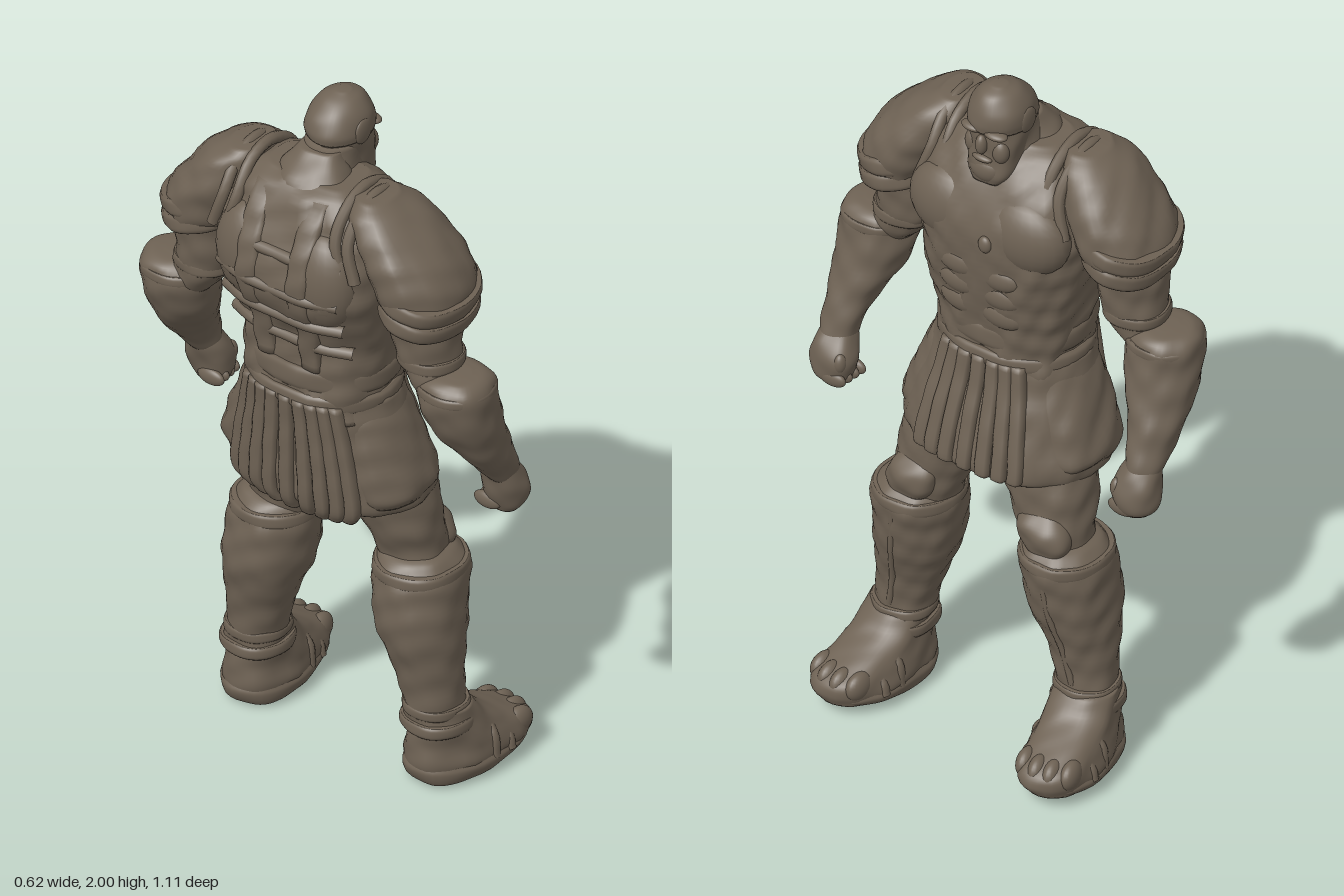
import * as THREE from 'three';

const stone = new THREE.MeshStandardMaterial({ color: 0x6e6254 });
stone.name = 'weathered stone';

const sgnPow = (v, e) => Math.sign(v) * Math.pow(Math.abs(v), e);

// Smooth body through horizontal sections [y, centreX, centreZ, radiusX, radiusZ], bottom to top
function loft(name, sections, { p = 2.2, side = 1, lump = 0.004, seg = 40 } = {}) {
  const s = [...sections].sort((a, b) => a[0] - b[0]);
  const centres = new THREE.CatmullRomCurve3(s.map(q => new THREE.Vector3(q[1], q[0], q[2] * side)), false, 'catmullrom', 0.5);
  const radii = new THREE.CatmullRomCurve3(s.map(q => new THREE.Vector3(q[3], q[4], 0)), false, 'catmullrom', 0.5);
  const rows = (s.length - 1) * 6, pos = [], idx = [];
  for (let i = 0; i <= rows; i++) {
    const c = centres.getPoint(i / rows), r = radii.getPoint(i / rows);
    for (let j = 0; j < seg; j++) {
      const t = j / seg * Math.PI * 2;
      const cx = sgnPow(Math.cos(t), 2 / p), cz = sgnPow(Math.sin(t), 2 / p);
      const x = c.x + r.x * cx, z = c.z + r.y * cz;
      // chiselled unevenness
      const n = lump * (Math.sin(x * 37 + c.y * 41) * Math.cos(z * 43 - c.y * 29) + 0.5 * Math.sin(c.y * 47 + z * 71) * Math.cos(x * 67));
      pos.push(x + cx * n, c.y, z + cz * n);
    }
  }
  for (let i = 0; i < rows; i++) for (let j = 0; j < seg; j++) {
    const a = i * seg + j, b = i * seg + (j + 1) % seg;
    idx.push(a, a + seg, b, b, a + seg, b + seg);
  }
  // end caps
  const bottom = pos.length / 3, top = bottom + 1, c0 = centres.getPoint(0), c1 = centres.getPoint(1);
  pos.push(c0.x, c0.y, c0.z, c1.x, c1.y, c1.z);
  for (let j = 0; j < seg; j++) {
    const k = (j + 1) % seg, last = rows * seg;
    idx.push(bottom, j, k, top, last + k, last + j);
  }
  const g = new THREE.BufferGeometry();
  g.setAttribute('position', new THREE.Float32BufferAttribute(pos, 3));
  g.setIndex(idx);
  g.computeVertexNormals();
  const m = new THREE.Mesh(g, stone);
  m.name = name;
  return m;
}

// Ellipsoid for muscles, knuckles and studs
function blob(name, x, y, z, rx, ry, rz) {
  const m = new THREE.Mesh(new THREE.SphereGeometry(1, 24, 16), stone);
  m.position.set(x, y, z);
  m.scale.set(rx, ry, rz);
  m.name = name;
  return m;
}

function tube(name, points, r) {
  const path = new THREE.CatmullRomCurve3(points.map(q => new THREE.Vector3(...q)));
  const m = new THREE.Mesh(new THREE.TubeGeometry(path, 24, r, 8, false), stone);
  m.name = name;
  return m;
}

// Raised band wrapped around a limb
const band = (name, y, h, cx, cz, rx, rz, side = 1) => loft(name, [
  [y - h / 2, cx, cz, rx * 0.96, rz * 0.96], [y - h / 4, cx, cz, rx, rz],
  [y + h / 4, cx, cz, rx, rz], [y + h / 2, cx, cz, rx * 0.96, rz * 0.96]], { side, lump: 0.002 });

function buildTorso() {
  const g = new THREE.Group();
  g.name = 'torso';
  g.add(loft('cuirass', [
    [1.13, -0.075, 0, 0.16, 0.2], [1.2, -0.075, 0, 0.16, 0.2], [1.28, -0.07, 0, 0.16, 0.205],
    [1.38, -0.065, 0, 0.17, 0.222], [1.5, -0.09, 0, 0.208, 0.245], [1.6, -0.09, 0, 0.208, 0.258],
    [1.7, -0.09, 0, 0.17, 0.245], [1.78, -0.1, 0, 0.125, 0.19], [1.815, -0.1, 0, 0.08, 0.13]],
    { p: 2.8, seg: 64, lump: 0.006 }));
  g.add(loft('trapezius', [[1.7, -0.12, 0, 0.12, 0.18], [1.79, -0.12, 0, 0.09, 0.115], [1.84, -0.1, 0, 0.065, 0.075], [1.87, -0.08, 0, 0.05, 0.06]]));
  g.add(band('belt', 1.245, 0.07, -0.075, 0, 0.166, 0.21), band('lowerBelt', 1.18, 0.05, -0.075, 0, 0.172, 0.212));
  for (const s of [1, -1]) {
    g.add(blob('chestMuscle', 0.04, 1.595, 0.115 * s, 0.078, 0.115, 0.13));
    g.add(blob('shoulderBlade', -0.225, 1.58, 0.12 * s, 0.075, 0.14, 0.1));
    for (let i = 0; i < 3; i++) g.add(blob('abdomen', 0.073 + i * 0.008, 1.33 + i * 0.065, 0.06 * s, 0.03, 0.042, 0.07));
    // broad vertical back straps
    g.add(loft('backStrap', [[1.28, -0.215, 0.07, 0.02, 0.03], [1.4, -0.235, 0.075, 0.022, 0.032], [1.52, -0.283, 0.08, 0.024, 0.034],
      [1.63, -0.278, 0.08, 0.024, 0.034], [1.72, -0.235, 0.085, 0.024, 0.034], [1.79, -0.19, 0.085, 0.024, 0.03]], { side: s, p: 3, seg: 20 }));
  }
  // horizontal back plates
  [[1.36, 0.225], [1.45, 0.267], [1.54, 0.292], [1.64, 0.276]].forEach(([y, x]) =>
    g.add(tube('backPlateRidge', [[-x + 0.03, y, -0.19], [-x, y, -0.1], [-x - 0.002, y, 0], [-x, y, 0.1], [-x + 0.03, y, 0.19]], 0.017)));
  g.add(blob('chestStud', 0.12, 1.57, -0.04, 0.014, 0.025, 0.02));
  return g;
}

function buildSkirt() {
  const g = new THREE.Group();
  g.name = 'skirt';
  const rows = [[0.84, -0.035, 0, 0.17, 0.25], [0.875, -0.035, 0, 0.192, 0.288], [1, -0.05, 0, 0.18, 0.265],
    [1.1, -0.065, 0, 0.165, 0.235], [1.18, -0.075, 0, 0.16, 0.21]];
  g.add(loft('skirtCloth', rows, { p: 2.3, seg: 64 }));
  // hanging leather strips, front and back
  for (const [facing, count, hem] of [[0, 3, 0.865], [Math.PI, 4, 0.825]]) for (let i = -count; i <= count; i++) {
    const t = facing + i * 0.16;
    const strip = rows.map(([y, cx, , rx, rz]) => [y, cx + rx * sgnPow(Math.cos(t), 0.87), rz * sgnPow(Math.sin(t), 0.87), 0.018, 0.021]);
    strip[0][0] = hem;
    g.add(loft('skirtStrip', strip, { p: 3, lump: 0.001, seg: 12 }));
  }
  // hip guards
  for (const s of [1, -1]) g.add(loft('hipGuard', [[0.88, -0.05, 0.2, 0.115, 0.085], [0.92, -0.05, 0.2, 0.13, 0.102], [1, -0.055, 0.18, 0.13, 0.097],
    [1.1, -0.065, 0.15, 0.12, 0.09], [1.15, -0.07, 0.13, 0.11, 0.085]], { side: s, p: 2.4 }));
  g.add(blob('groin', -0.02, 0.9, 0, 0.12, 0.078, 0.12));
  return g;
}

function buildHead() {
  const g = new THREE.Group();
  g.name = 'head';
  g.add(loft('neck', [[1.7, -0.09, 0, 0.12, 0.13], [1.79, -0.06, 0, 0.09, 0.085], [1.88, -0.035, 0, 0.08, 0.07]]));
  g.add(loft('face', [[1.725, 0.045, 0, 0.035, 0.045], [1.76, 0.025, 0, 0.06, 0.065], [1.82, 0, 0, 0.08, 0.073],
    [1.88, -0.012, 0, 0.09, 0.075], [1.92, -0.012, 0, 0.085, 0.074]], { p: 2.4 }));
  g.add(loft('helmet', [[1.885, -0.014, 0, 0.096, 0.081], [1.91, -0.014, 0, 0.098, 0.083], [1.945, -0.01, 0, 0.085, 0.075],
    [1.98, -0.003, 0, 0.056, 0.05], [1.998, 0, 0, 0.018, 0.018]], { lump: 0.002 }));
  g.add(blob('nose', 0.08, 1.85, 0, 0.018, 0.03, 0.016), blob('beard', 0.057, 1.765, 0, 0.032, 0.042, 0.05));
  g.add(blob('mouth', 0.077, 1.805, 0, 0.013, 0.01, 0.03));
  for (const s of [1, -1]) {
    g.add(blob('brow', 0.067, 1.887, 0.035 * s, 0.022, 0.012, 0.035));
    g.add(blob('cheek', 0.055, 1.83, 0.042 * s, 0.022, 0.035, 0.025));
    g.add(blob('earGuard', -0.015, 1.905, 0.077 * s, 0.033, 0.036, 0.01));
  }
  return g;
}

function buildArm(s) {
  const g = new THREE.Group(), o = { side: s };
  g.name = s > 0 ? 'rightArm' : 'leftArm';
  // the left shoulder guard sits a little closer and higher
  const inset = s > 0 ? 0 : 0.018, lift = s > 0 ? 0 : 0.02;
  g.add(loft('shoulderGuard', [[1.55, -0.1, 0.355 - inset, 0.135, 0.1], [1.59, -0.1, 0.348 - inset, 0.148, 0.117], [1.64, -0.102, 0.33 - inset, 0.15, 0.12],
    [1.7, -0.106, 0.297 - inset, 0.144, 0.112], [1.78, -0.112, 0.235, 0.112, 0.085], [1.825, -0.115, 0.2, 0.065, 0.045]], { ...o, p: 2.1 }));
  // overlapping lower plates, tilted outward
  [[1.54, 0.05, 0.148, 0.112], [1.59, 0.05, 0.15, 0.118]].forEach(([y, h, rx, rz]) => {
    const plate = band('shoulderPlate', 0, h, -0.1, 0, rx, rz);
    plate.position.set(0, y + lift, (0.36 - inset) * s);
    plate.rotation.x = 0.25 * s;
    g.add(plate);
  });
  // raised ridges along the inner edge of the guard
  [[0.16, 0], [0.2, 0.006]].forEach(([z, drop]) => g.add(tube('shoulderRidge', [[0.04, 1.62, (z + 0.03) * s], [0.02, 1.72, z * s],
    [-0.03, 1.795 - drop, z * s], [-0.11, 1.825 - drop, z * s], [-0.18, 1.8 - drop, z * s], [-0.235, 1.72, z * s], [-0.245, 1.62, (z + 0.03) * s]], 0.016)));
  g.add(loft('upperArm', [[1.29, -0.1, 0.41, 0.065, 0.06], [1.35, -0.1, 0.375, 0.08, 0.075], [1.42, -0.098, 0.35, 0.086, 0.088],
    [1.5, -0.1, 0.345, 0.094, 0.092], [1.6, -0.1, 0.32, 0.1, 0.09]], o));
  g.add(band('armBand', 1.385, 0.035, -0.098, 0.363, 0.086, 0.086, s));
  g.add(loft('forearmGuard', [[0.99, 0.045, 0.482, 0.045, 0.045], [1.05, 0.012, 0.482, 0.062, 0.054], [1.12, -0.03, 0.475, 0.08, 0.07],
    [1.2, -0.07, 0.46, 0.094, 0.093], [1.28, -0.095, 0.45, 0.1, 0.103], [1.34, -0.1, 0.452, 0.095, 0.096], [1.365, -0.1, 0.455, 0.07, 0.07], [1.372, -0.1, 0.455, 0.03, 0.03]], o));
  g.add(band('elbowCuff', 1.325, 0.03, -0.1, 0.45, 0.1, 0.1, s));
  g.add(loft('fist', [[0.88, 0.065, 0.477, 0.032, 0.038], [0.905, 0.068, 0.477, 0.046, 0.057], [0.95, 0.062, 0.477, 0.054, 0.064],
    [0.99, 0.05, 0.48, 0.052, 0.056], [1.03, 0.03, 0.482, 0.042, 0.042]], { ...o, p: 2.3 }));
  for (let i = 0; i < 4; i++) g.add(blob('finger', 0.1 - i * 0.025, 0.905, (0.457 - i * 0.003) * s, 0.015, 0.024, 0.042));
  g.add(blob('thumb', 0.092, 0.955, 0.437 * s, 0.02, 0.03, 0.018));
  return g;
}

function buildLeg(s) {
  const g = new THREE.Group(), o = { side: s };
  g.name = s > 0 ? 'rightLeg' : 'leftLeg';
  g.add(loft('thigh', [[0.6, 0.03, 0.215, 0.085, 0.09], [0.68, 0.03, 0.2, 0.088, 0.095], [0.76, 0.012, 0.18, 0.1, 0.112],
    [0.85, 0, 0.152, 0.11, 0.13], [0.98, -0.03, 0.13, 0.11, 0.115]], o));
  g.add(loft('kneeGuard', [[0.655, 0.085, 0.215, 0.045, 0.065], [0.69, 0.09, 0.21, 0.05, 0.075], [0.73, 0.088, 0.2, 0.05, 0.072],
    [0.77, 0.07, 0.195, 0.035, 0.05]], o));
  g.add(loft('shinGuard', [[0.16, 0.012, 0.29, 0.08, 0.078], [0.25, 0.01, 0.283, 0.078, 0.08], [0.35, 0.008, 0.267, 0.09, 0.095],
    [0.46, 0.01, 0.247, 0.12, 0.115], [0.55, 0.018, 0.237, 0.127, 0.119], [0.62, 0.028, 0.232, 0.127, 0.118], [0.66, 0.03, 0.225, 0.1, 0.095], [0.675, 0.03, 0.222, 0.07, 0.07]], o));
  g.add(band('shinCuff', 0.625, 0.04, 0.027, 0.231, 0.129, 0.119, s));
  g.add(tube('shinRidge', [[0.143, 0.6, 0.235 * s], [0.127, 0.47, 0.25 * s], [0.094, 0.35, 0.27 * s], [0.082, 0.25, 0.288 * s]], 0.01));
  g.add(band('ankleBand', 0.225, 0.03, 0.015, 0.288, 0.086, 0.086, s), band('ankleWrap', 0.18, 0.035, 0.02, 0.293, 0.098, 0.094, s));

  // foot turned slightly outward, its toe lifted off the ground
  const foot = new THREE.Group();
  foot.name = 'foot';
  foot.position.z = 0.292 * s;
  foot.rotation.y = -0.15 * s;
  foot.add(loft('boot', [[0.04, 0.115, 0, 0.18, 0.1], [0.07, 0.12, 0, 0.19, 0.106], [0.105, 0.112, 0, 0.182, 0.1],
    [0.14, 0.08, 0, 0.145, 0.093], [0.18, 0.04, 0, 0.103, 0.088], [0.23, 0.015, 0, 0.08, 0.08]], { p: 2.3 }));
  foot.add(loft('sole', [[0.001, 0.05, 0, 0.085, 0.06], [0.012, 0.07, 0, 0.125, 0.09], [0.03, 0.098, 0, 0.165, 0.105],
    [0.05, 0.112, 0, 0.184, 0.11], [0.065, 0.116, 0, 0.183, 0.104]], { p: 2.3, lump: 0.002 }));
  for (let i = 0; i < 4; i++) foot.add(blob('toe', 0.262 - Math.abs(i - 1.5) * 0.016, 0.092, (i - 1.5) * 0.042, 0.045, 0.04, 0.026));
  for (const [x, y] of [[0.125, 0.15], [0.18, 0.115]])
    foot.add(tube('footStrap', [[x, 0.05, -0.098], [x, y - 0.03, -0.088], [x, y + 0.02, 0], [x, y - 0.03, 0.088], [x, 0.05, 0.098]], 0.014));
  g.add(foot);
  return g;
}

export function createModel() {
  const model = new THREE.Group();
  model.name = 'armouredWarrior';
  model.add(buildTorso(), buildSkirt(), buildHead());
  for (const s of [1, -1]) model.add(buildArm(s), buildLeg(s));
  return model;
}
